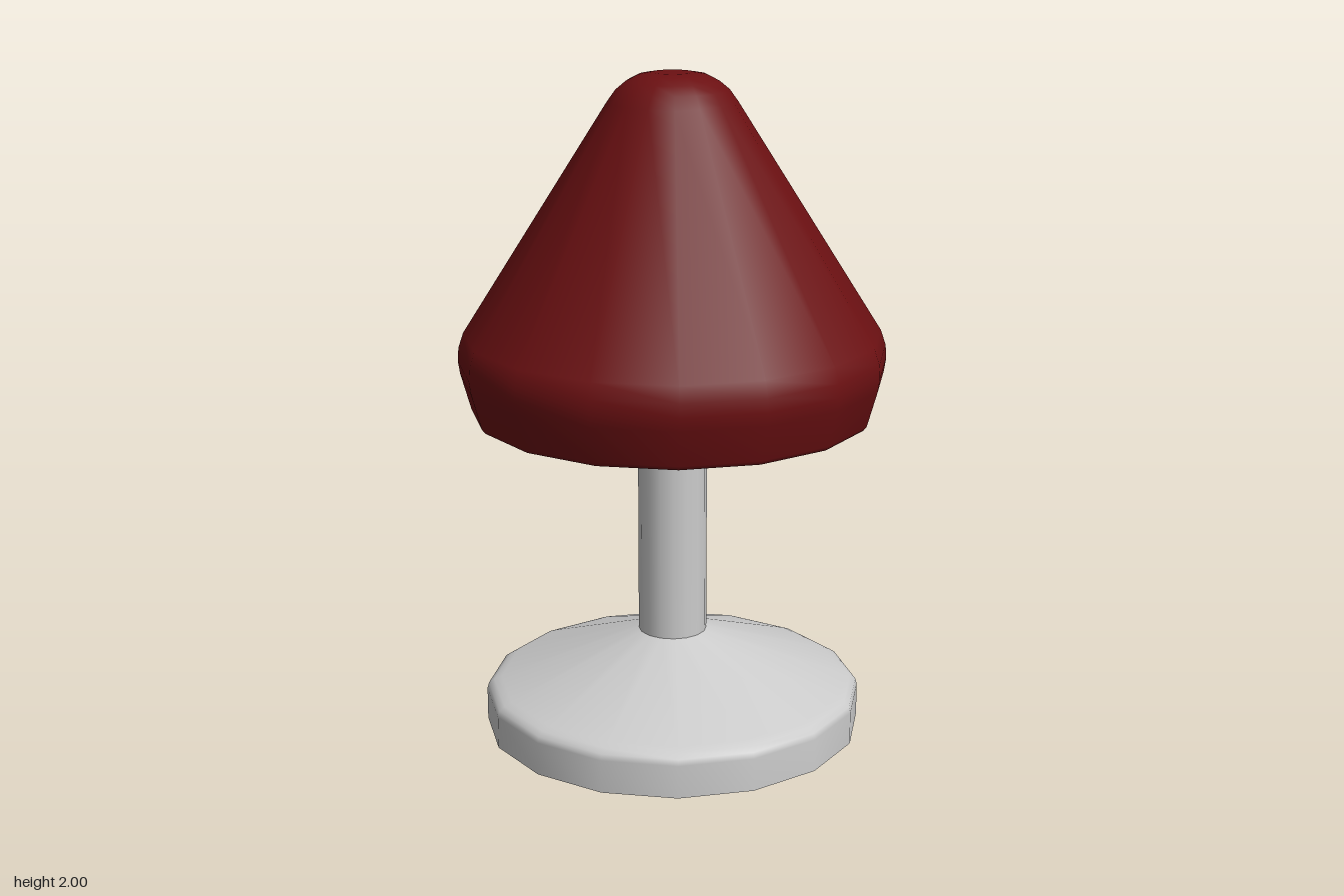
import * as THREE from 'three';

const SIDES = 16;

// Revolves [radius, height] profiles; each profile is smooth, with a sharp edge between profiles
function lathePart(name, material, ...profiles) {
  const part = new THREE.Group();
  part.name = name;
  profiles.forEach((profile, i) => {
    const points = profile.map(([r, y]) => new THREE.Vector2(r, y));
    const mesh = new THREE.Mesh(new THREE.LatheGeometry(points, SIDES), material);
    mesh.name = `${name}Surface${i + 1}`;
    part.add(mesh);
  });
  return part;
}

export function createModel() {
  const model = new THREE.Group();
  model.name = 'tableLamp';
  const grey = new THREE.MeshStandardMaterial({ color: 0xcccccc });
  const red = new THREE.MeshStandardMaterial({ color: 0x6b1012 });

  // Base: flat underside, upright rim with a rounded shoulder, sloping top
  model.add(lathePart('base', grey,
    [[0, 0], [0.575, 0]],
    [[0.575, 0], [0.575, 0.1], [0.57, 0.118], [0.553, 0.13], [0.53, 0.14], [0.1, 0.3]],
  ));

  // Stem: from the base up to the ceiling inside the shade
  const stem = new THREE.Mesh(new THREE.CylinderGeometry(0.104, 0.104, 1.06, SIDES), grey);
  stem.name = 'stem';
  stem.position.y = 0.82;
  model.add(stem);

  // Shade: inner ceiling, then inner wall, rim and rounded outer cone
  model.add(lathePart('shade', red,
    [[0, 1.34], [0.52, 1.34]],
    [
      [0.52, 1.34], [0.59, 1.23], [0.607, 1.19], [0.61, 1.14], [0.6, 1.09], [0.575, 1.005],
      [0.58, 0.993], [0.592, 0.99], [0.602, 1.003],
      [0.632, 1.11], [0.638, 1.15], [0.635, 1.19], [0.62, 1.235],
      [0.19, 1.915], [0.165, 1.95], [0.135, 1.975], [0.1, 1.993], [0.06, 2], [0, 2],
    ],
  ));

  return model;
}
